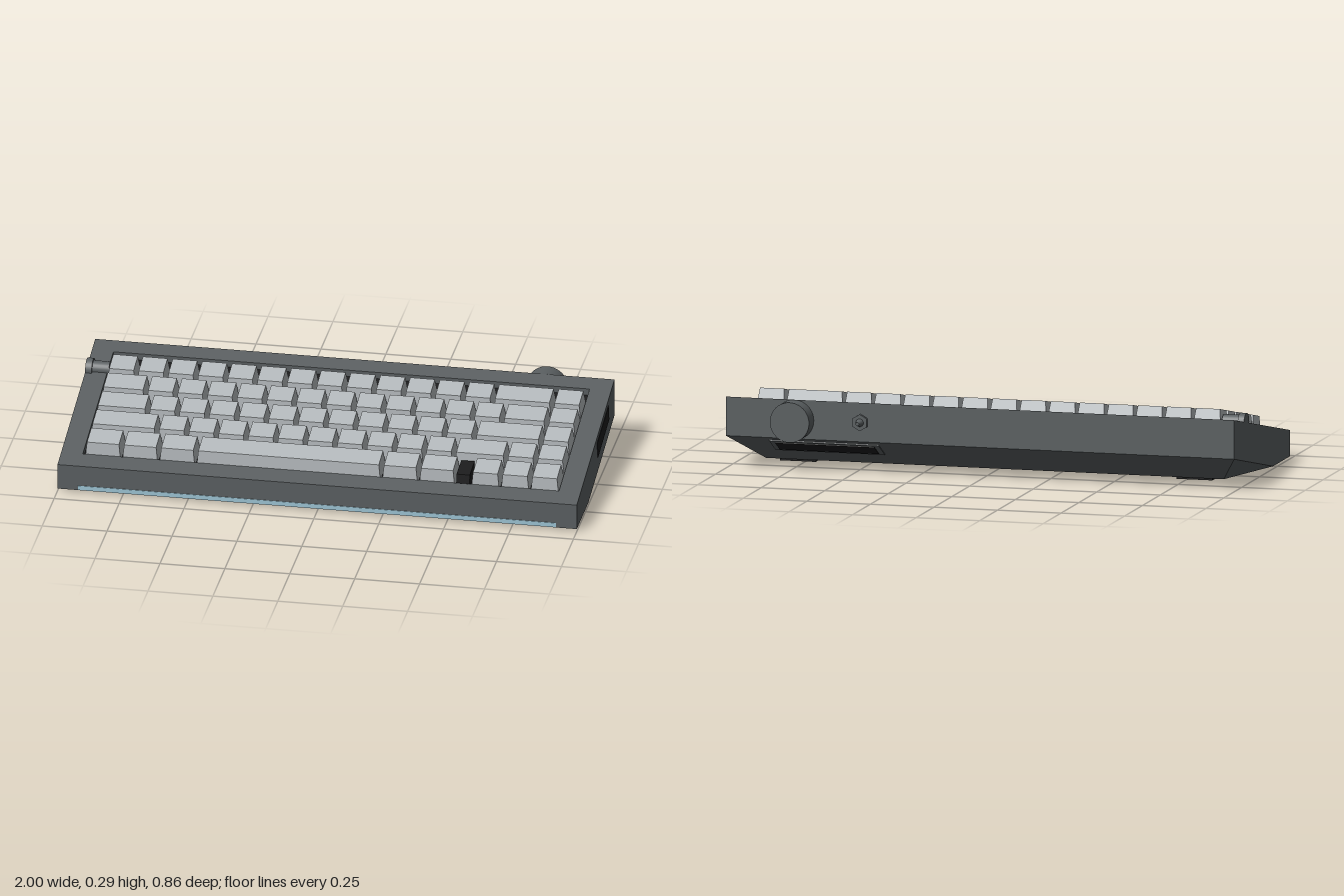
import * as THREE from 'three';
import { ConvexGeometry } from 'three/addons/geometries/ConvexGeometry.js';

const paint = (name, color) => {
  const m = new THREE.MeshStandardMaterial({ color });
  m.name = name;
  return m;
};

// Height of the sloping case top at depth z
const top = (z) => 0.11 + (0.43 - z) * 0.21;

export function createModel() {
  const model = new THREE.Group();
  model.name = 'keyboard';
  const grey = paint('caseGrey', 0x5a5f61);
  const light = paint('keyGrey', 0xb4b9bc);
  const black = paint('black', 0x1c1c1d);
  const blue = paint('paleBlue', 0x9cc4d4);

  const add = (name, geometry, material, x = 0, y = 0, z = 0, parent = model) => {
    const mesh = new THREE.Mesh(geometry, material);
    mesh.name = name;
    mesh.position.set(x, y, z);
    parent.add(mesh);
    return mesh;
  };
  const box = (w, h, d) => new THREE.BoxGeometry(w, h, d);

  // Convex solid from [x, y, z] corners
  const hull = (points) => new ConvexGeometry(points.map((p) => new THREE.Vector3(...p)));
  // Prism between x0 and x1 with a [z, y] outline
  const prism = (x0, x1, outline) =>
    hull([x0, x1].flatMap((x) => outline.map(([z, y]) => [x, y, z])));

  // Lower case: wedge with facets cut off its rear bottom corners
  const floorY = (z) => top(z) - 0.03;
  const split = 0.25;
  add('caseBody', hull([-1, 1].flatMap((s) => [
    [s, 0.01, split], [s, floorY(split), split], [s, 0.01, 0.19],
    [s, 0.125, -0.355], [s, floorY(-0.355), -0.355], [s * 0.9, 0.01, -0.145],
  ])), grey);

  // Front of the case with a hollow along its underside
  add('caseFront', prism(-0.92, 0.92,
    [[split, floorY(split)], [0.43, floorY(0.43)], [0.43, 0.01], [0.41, 0.01], [split, 0.035]]), grey);
  for (const s of [-1, 1]) {
    add('caseFrontEnd', prism(s * 0.92, s,
      [[split, floorY(split)], [0.43, floorY(0.43)], [0.43, 0.01], [split, 0.01]]), grey);
  }

  // Rim around the keys, sheared to follow the slope
  const rect = (shape, x, z0, z1) => {
    shape.moveTo(-x, -z1);
    shape.lineTo(x, -z1);
    shape.lineTo(x, -z0);
    shape.lineTo(-x, -z0);
    shape.closePath();
    return shape;
  };
  const frame = rect(new THREE.Shape(), 1, -0.355, 0.43);
  frame.holes.push(rect(new THREE.Path(), 0.917, -0.285, 0.352));
  const rim = new THREE.ExtrudeGeometry(frame, { depth: 0.04, bevelEnabled: false });
  const rp = rim.attributes.position;
  for (let i = 0; i < rp.count; i++) {
    const z = -rp.getY(i);
    rp.setXYZ(i, rp.getX(i), top(z) - 0.04 + rp.getZ(i), z);
  }
  rim.computeVertexNormals();
  add('caseRim', rim, grey);

  // Dark plate under the keys
  add('switchPlate', prism(-0.917, 0.917, [
    [-0.285, floorY(-0.285)], [-0.285, floorY(-0.285) + 0.004],
    [0.352, floorY(0.352)], [0.352, floorY(0.352) + 0.004],
  ]), black);

  // Keys: tapered blocks, widths in key units, a negative width is a gap
  const ones = (n) => Array(n).fill(1);
  const rows = [
    [1.25, 1.25, 1.25, 6.25, 1.25, 1.25, -0.5, 1, 1, 1],
    [2.25, ...ones(10), 1.75, 1, 1],
    [1.75, ...ones(11), 2.25, 1],
    [1.5, ...ones(12), 1.5, 1],
    [...ones(13), 2, 1],
  ];
  const unit = 1.83 / 16;
  const keys = new THREE.Group();
  keys.name = 'keys';
  model.add(keys);
  rows.forEach((row, r) => {
    const z = 0.348 - r * 0.115;
    let x = -0.912;
    for (const u of row) {
      const w = Math.abs(u) * unit;
      const a = x + 0.003;
      const b = x + w - 0.003;
      if (u > 0) {
        const frontTop = top(z) + 0.046;
        add('key', hull([
          [a, top(z) - 0.022, z], [b, top(z) - 0.022, z],
          [a, top(z - 0.112) - 0.022, z - 0.112], [b, top(z - 0.112) - 0.022, z - 0.112],
          [a + 0.007, frontTop, z - 0.003], [b - 0.007, frontTop, z - 0.003],
          [a + 0.007, frontTop + 0.019, z - 0.091], [b - 0.007, frontTop + 0.019, z - 0.091],
        ]), light, 0, 0, 0, keys);
      } else {
        // Small dark block in the gap
        add('gapBlock', prism(a, b, [
          [z, top(z) - 0.025], [z - 0.005, top(z) + 0.032],
          [z - 0.11, top(z - 0.11) - 0.025], [z - 0.105, top(z - 0.105) + 0.022],
        ]), black, 0, 0, 0, keys);
      }
      x += w;
    }
  });

  // Pale strip along the front bottom edge
  add('lightStrip', box(1.84, 0.018, 0.004), blue, 0, 0.02, 0.43);

  // Dark panel on the right-hand side
  add('sidePanel', prism(0.996, 1.002,
    [[0.01, 0.178], [-0.223, 0.226], [-0.237, 0.163], [-0.003, 0.11]]), black);

  // Underside slot, feet and rear port
  add('bottomSlot', box(1.76, 0.006, 0.032), black, 0, 0.01, 0.235);
  for (const x of [-0.78, 0.78]) {
    for (const z of [0.382, -0.113]) add('foot', box(0.14, 0.012, 0.028), black, x, 0.006, z);
  }
  const tilt = Math.atan2(0.115, 0.21);
  add('portFrame', box(0.43, 0.008, 0.105), grey, 0.62, 0.088, -0.288).rotation.x = tilt;
  add('port', box(0.39, 0.013, 0.075), black, 0.62, 0.088, -0.288).rotation.x = tilt;

  // Round knob on the back
  const knob = new THREE.CylinderGeometry(0.077, 0.077, 0.068, 40).rotateX(Math.PI / 2);
  add('backKnob', knob, grey, 0.73, 0.198, -0.391);
  add('backKnobShaft', new THREE.CylinderGeometry(0.07, 0.07, 0.01, 32).rotateX(Math.PI / 2),
    black, 0.73, 0.198, -0.355);

  // Toggle switch on the back
  add('toggleBase', new THREE.CylinderGeometry(0.032, 0.032, 0.014, 6).rotateX(Math.PI / 2),
    grey, 0.47, 0.2, -0.361);
  add('toggleLever', new THREE.CylinderGeometry(0.007, 0.016, 0.034, 16).rotateX(-Math.PI / 2),
    grey, 0.47, 0.2, -0.383);

  // Side roller set in the left edge as seen from the front
  add('rollerShaft', new THREE.CylinderGeometry(0.028, 0.028, 0.07, 24).rotateZ(Math.PI / 2),
    grey, -0.945, 0.238, -0.18);
  add('rollerDisc', new THREE.CylinderGeometry(0.038, 0.038, 0.025, 32).rotateZ(Math.PI / 2),
    grey, -0.987, 0.236, -0.18);

  return model;
}
